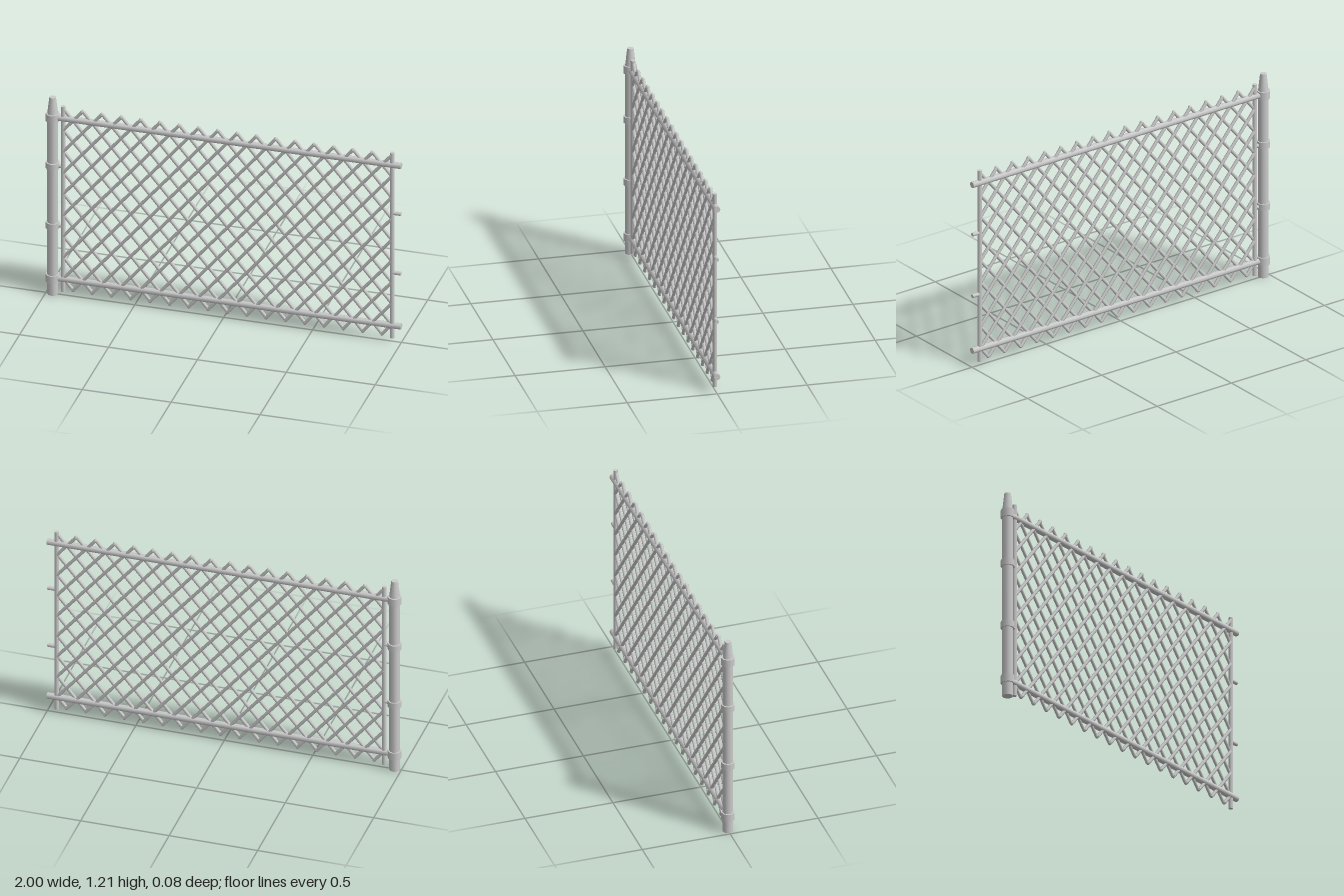
import * as THREE from 'three';
import { mergeGeometries } from 'three/addons/utils/BufferGeometryUtils.js';

const UP = new THREE.Vector3(0, 1, 0);

// Cylinder running from point a to point b
function rod(a, b, radius, sides) {
  const from = new THREE.Vector3(...a), to = new THREE.Vector3(...b);
  const dir = to.clone().sub(from);
  const geometry = new THREE.CylinderGeometry(radius, radius, dir.length(), sides);
  geometry.applyQuaternion(new THREE.Quaternion().setFromUnitVectors(UP, dir.normalize()));
  const mid = from.add(to).multiplyScalar(0.5);
  return geometry.translate(mid.x, mid.y, mid.z);
}

export function createModel() {
  const group = new THREE.Group();
  group.name = 'chainLinkFence';
  const material = new THREE.MeshStandardMaterial({ color: 0xcccccc });
  const add = (name, geometry) => {
    const mesh = new THREE.Mesh(geometry, material);
    mesh.name = name;
    group.add(mesh);
  };

  // Post with tapered cap
  const postX = -0.962;
  add('post', rod([postX, 0, 0], [postX, 1.1, 0], 0.03, 10));
  add('postCap', new THREE.CylinderGeometry(0.018, 0.03, 0.105, 10).translate(postX, 1.1525, 0));

  // Collars: [centre height, height]
  for (const [y, h] of [[0.098, 0.046], [0.422, 0.038], [0.789, 0.038], [1.083, 0.046]]) {
    add('collar', rod([postX, y - h / 2, 0], [postX, y + h / 2, 0], 0.038, 10));
  }

  // Horizontal rails
  for (const y of [0.098, 1.083]) add('rail', rod([-0.94, y, 0], [1, y, 0], 0.018, 8));

  // Tension bars at both ends of the mesh
  const barLeft = -0.903, barRight = 0.948;
  for (const x of [barLeft, barRight]) add('tensionBar', rod([x, 0.022, 0], [x, 1.157, 0], 0.0125, 8));

  // Short ties joining the bars to the posts
  for (const y of [0.422, 0.787]) {
    add('tie', rod([-0.94, y, 0], [barLeft, y, 0], 0.011, 8));
    add('tie', rod([barRight, y, 0], [0.998, y, 0], 0.011, 8));
  }

  // Diamond mesh on a grid of half diamonds; wires join nodes where i + j is odd
  const cols = 34, rows = 17, stepX = 1.847 / cols, stepY = 0.065;
  const wireRadius = 0.0095;
  const wires = [], bends = [];
  const node = (i, j, z) => [barLeft + 0.001 + i * stepX, 0.036 + j * stepY, z];
  const addWire = (i, j, dir) => {
    const n = Math.min(rows - j, dir > 0 ? cols - i : i);
    if (n > 0) wires.push(rod(node(i, j, 0.003 * dir), node(i + dir * n, j + n, 0.003 * dir), wireRadius, 6));
  };
  for (let i = 1; i < cols; i += 2) {
    addWire(i, 0, 1);
    addWire(i, 0, -1);
  }
  for (let j = 1; j < rows; j += 2) {
    addWire(0, j, 1);
    addWire(cols, j, -1);
  }
  add('meshWires', mergeGeometries(wires));

  // Rounded bends where wires meet along the top and bottom
  for (let i = 1; i < cols; i++) {
    const [x, y] = node(i, i % 2 ? 0 : rows, 0);
    bends.push(new THREE.SphereGeometry(0.0105, 8, 6).translate(x, y, 0));
  }
  add('wireBends', mergeGeometries(bends));

  return group;
}
